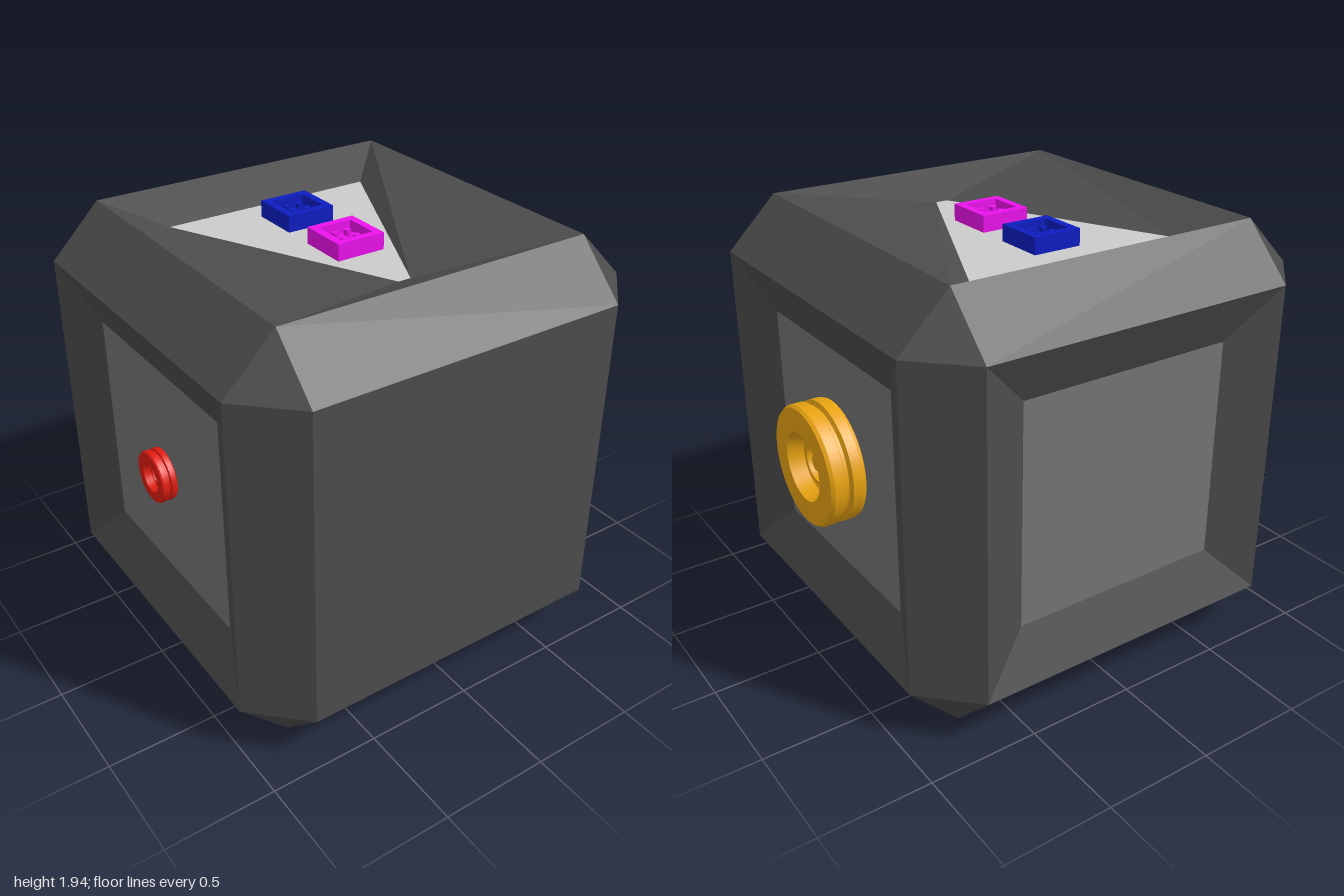
import * as THREE from 'three';

const H = 0.97;      // half size of the cube
const C = 0.74;      // half size of each flat face inside the chamfers
const F = 0.51;      // half size of the sunken panels
const DEPTH = 0.1;   // depth of the sunken panels

const material = (color, flatShading = true) => new THREE.MeshStandardMaterial({ color, flatShading });

function addMesh(parent, name, geometry, mat) {
  const mesh = new THREE.Mesh(geometry, mat);
  mesh.name = name;
  parent.add(mesh);
  return mesh;
}

// Collects triangles and quads, turning each one to face away from the centre
function faceBuilder() {
  const pos = [];
  const tri = (a, b, c) => {
    const n = b.clone().sub(a).cross(c.clone().sub(a));
    const out = n.dot(a.clone().add(b).add(c)) > 0;
    for (const p of out ? [a, b, c] : [a, c, b]) pos.push(p.x, p.y, p.z);
  };
  return {
    tri,
    quad: (a, b, c, d) => { tri(a, b, c); tri(a, c, d); },
    build: () => {
      const g = new THREE.BufferGeometry();
      g.setAttribute('position', new THREE.Float32BufferAttribute(pos, 3));
      g.computeVertexNormals();
      return g;
    },
  };
}

// Dial turned from a profile: grooved rim, dished face and central hub
function dial(name, color) {
  const profile = [[0, 0], [0.265, 0], [0.27, 0.015], [0.27, 0.06], [0.25, 0.07], [0.25, 0.085],
    [0.27, 0.095], [0.27, 0.145], [0.26, 0.16], [0.155, 0.16], [0.135, 0.09], [0.1, 0.07],
    [0.1, 0.1], [0.085, 0.1], [0.08, 0.075], [0.035, 0.075], [0.035, 0.1], [0, 0.1]];
  // One lathe band per profile segment keeps the ring edges sharp
  const group = new THREE.Group();
  group.name = name;
  const mat = material(color, false);
  for (let i = 0; i < profile.length - 1; i++) {
    const pts = [profile[i], profile[i + 1]].map(([r, h]) => new THREE.Vector2(r, h));
    addMesh(group, name + 'Ring', new THREE.LatheGeometry(pts, 48), mat);
  }
  return group;
}

// Square stud: raised frame, sunken floor and four small pegs
function stud(name, color) {
  const group = new THREE.Group();
  group.name = name;
  const mat = material(color);
  const square = (P, s) => new P([[-s, -s], [s, -s], [s, s], [-s, s]].map(([x, y]) => new THREE.Vector2(x, y)));
  const shape = square(THREE.Shape, 0.115);
  shape.holes.push(square(THREE.Path, 0.08));
  const frame = new THREE.ExtrudeGeometry(shape, { depth: 0.075, bevelEnabled: false });
  addMesh(group, name + 'Frame', frame.rotateX(-Math.PI / 2), mat);
  addMesh(group, name + 'Floor', new THREE.BoxGeometry(0.16, 0.025, 0.16), mat).position.y = 0.0125;
  const pegMat = material(color, false);
  for (const x of [-0.032, 0.032]) for (const z of [-0.032, 0.032]) {
    const peg = new THREE.CylinderGeometry(0.016, 0.016, 0.035, 16);
    addMesh(group, name + 'Peg', peg, pegMat).position.set(x, 0.0425, z);
  }
  return group;
}

export function createModel() {
  const model = new THREE.Group();
  const cube = new THREE.Group();
  cube.name = 'cube';
  cube.position.set(-0.03, H, 0);
  model.add(cube);

  const body = faceBuilder();
  const sidePanels = faceBuilder();
  const topPanel = faceBuilder();
  const square = (s) => [[-s, -s], [s, -s], [s, s], [-s, s]];

  // Six sides: n is the outward direction, u and v lie in the face
  const X = new THREE.Vector3(1, 0, 0), Y = new THREE.Vector3(0, 1, 0), Z = new THREE.Vector3(0, 0, 1);
  const neg = (v) => v.clone().negate();
  const sides = [
    { n: Z, u: X, v: Y },
    { n: neg(Y), u: X, v: Z },
    { n: X, u: Y, v: Z, floor: square(F), panel: sidePanels },
    { n: neg(X), u: Y, v: Z, floor: square(F), panel: sidePanels },
    { n: neg(Z), u: X, v: Y, floor: square(F), panel: sidePanels },
    { n: Y, u: X, v: Z, floor: [[-F, -F], [F, -F], [0.03, F], [-0.03, F]], panel: topPanel },
  ];
  for (const { n, u, v, floor, panel } of sides) {
    const at = (h) => ([a, b]) => n.clone().multiplyScalar(h).addScaledVector(u, a).addScaledVector(v, b);
    const rim = square(C).map(at(H));
    if (!floor) { body.quad(...rim); continue; }
    const base = floor.map(at(H - DEPTH));
    panel.quad(...base);
    for (let i = 0; i < 4; i++) {
      const j = (i + 1) % 4;
      body.quad(rim[i], rim[j], base[j], base[i]);
    }
  }

  // Twelve chamfered edges and eight cut corners
  const axes = [X, Y, Z];
  for (const s of [-1, 1]) for (const t of [-1, 1]) {
    for (let k = 0; k < 3; k++) {
      const p = (a, b, c) => new THREE.Vector3()
        .addScaledVector(axes[k], a).addScaledVector(axes[(k + 1) % 3], b).addScaledVector(axes[(k + 2) % 3], c);
      body.quad(p(-C, s * H, t * C), p(C, s * H, t * C), p(C, s * C, t * H), p(-C, s * C, t * H));
    }
    for (const r of [-1, 1]) {
      body.tri(new THREE.Vector3(s * H, t * C, r * C), new THREE.Vector3(s * C, t * H, r * C),
        new THREE.Vector3(s * C, t * C, r * H));
    }
  }
  addMesh(cube, 'body', body.build(), material(0x4c4c4c));
  addMesh(cube, 'sidePanels', sidePanels.build(), material(0x747474));
  addMesh(cube, 'topPanel', topPanel.build(), material(0xcccccc));

  // Large dial on the left side, small one on the right
  const largeDial = dial('largeDial', 0xe8a311);
  largeDial.rotation.z = -Math.PI / 2;
  largeDial.position.x = H - DEPTH;
  const smallDial = dial('smallDial', 0xe01c10);
  smallDial.rotation.z = Math.PI / 2;
  smallDial.scale.setScalar(0.435);
  smallDial.position.x = -(H - DEPTH);
  cube.add(largeDial, smallDial);

  // Two studs on the top panel
  const backStud = stud('backStud', 0x0c1dc0);
  backStud.position.set(0, H - DEPTH, -0.275);
  const frontStud = stud('frontStud', 0xec12ec);
  frontStud.position.set(0, H - DEPTH, 0.1);
  cube.add(backStud, frontStud);

  return model;
}
